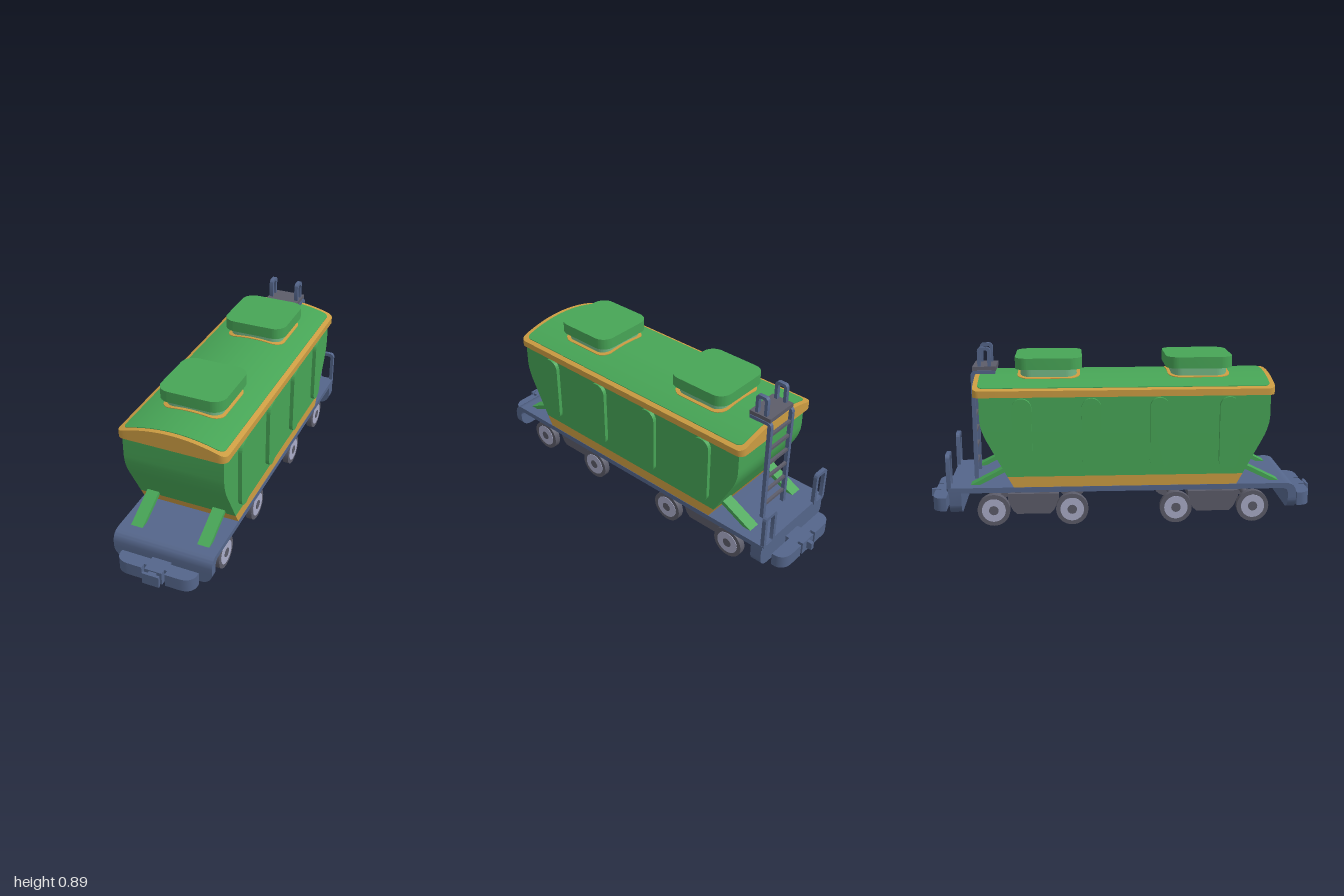
import * as THREE from 'three';
import { toCreasedNormals } from 'three/addons/utils/BufferGeometryUtils.js';

const mat = (name, color) => {
  const m = new THREE.MeshStandardMaterial({ color });
  m.name = name;
  return m;
};

export function createModel() {
  const green = mat('hopper green', 0x47a556);
  const paleGreen = mat('pale green', 0x74b987);
  const ochre = mat('ochre trim', 0xcc9c42);
  const blue = mat('slate blue', 0x54658a);
  const grey = mat('dark grey', 0x5c5c69);
  const pale = mat('pale steel', 0xa9acc8);

  const model = new THREE.Group();
  model.name = 'hopperWagon';
  const add = (name, geo, material, x = 0, y = 0, z = 0, parent = model) => {
    const m = new THREE.Mesh(geo, material);
    m.name = name;
    m.position.set(x, y, z);
    parent.add(m);
    return m;
  };
  const box = (w, h, d) => new THREE.BoxGeometry(w, h, d);
  const poly = (pts) => new THREE.Shape(pts.map(([a, b]) => new THREE.Vector2(a, b)));

  // Extrusions centred on their axis
  const extrudeZ = (shape, d) =>
    toCreasedNormals(new THREE.ExtrudeGeometry(shape, { depth: d, bevelEnabled: false, curveSegments: 10 }).translate(0, 0, -d / 2), 0.6);
  const extrudeX = (shape, w) => extrudeZ(shape, w).rotateY(-Math.PI / 2); // shape (z, y)
  const extrudeY = (shape, h) => extrudeZ(shape, h).rotateX(Math.PI / 2); // shape (x, z)

  const roundRect = (w, h, r, Type = THREE.Shape) => {
    const s = new Type(), a = w / 2, b = h / 2;
    s.absarc(a - r, b - r, r, 0, Math.PI / 2);
    s.absarc(r - a, b - r, r, Math.PI / 2, Math.PI);
    s.absarc(r - a, r - b, r, Math.PI, Math.PI * 1.5);
    s.absarc(a - r, r - b, r, Math.PI * 1.5, Math.PI * 2);
    s.closePath();
    return s;
  };
  const loopShape = (w, h, r, t) => {
    const s = roundRect(w, h, r);
    s.holes.push(roundRect(w - 2 * t, h - 2 * t, r - t * 0.7, THREE.Path));
    return s;
  };

  // Arched slab with rounded plan corners, built from cross-sections along x
  const arch = (x) => 0.755 - 0.05 * (x / 0.275) ** 2;
  const archSlab = (hw, hl, r, lift, bottom) => {
    const n = 28, pos = [], idx = [];
    for (let i = 0; i <= n; i++) {
      const x = hw * Math.sin((i / n - 0.5) * Math.PI);
      const e = Math.max(0, Math.abs(x) - (hw - r));
      const l = hl - r + Math.sqrt(Math.max(0, r * r - e * e));
      const t = arch(x) + lift, b = bottom ?? arch(x) - 0.003;
      pos.push(x, b, -l, x, t, -l, x, t, l, x, b, l);
      if (i === n) break;
      for (let j = 0; j < 4; j++) {
        const p = i * 4 + j, q = i * 4 + (j + 1) % 4;
        idx.push(p, q, q + 4, p, q + 4, p + 4);
      }
    }
    const k = n * 4;
    idx.push(0, 2, 1, 0, 3, 2, k, k + 1, k + 2, k, k + 2, k + 3);
    const g = new THREE.BufferGeometry();
    g.setAttribute('position', new THREE.Float32BufferAttribute(pos, 3));
    g.setIndex(idx);
    return toCreasedNormals(g, 0.6);
  };

  // Hopper body with curved, sloping ends
  const half = [[0.6, 0.265], [0.693, 0.44], [0.708, 0.47], [0.719, 0.5], [0.727, 0.53], [0.73, 0.56], [0.73, 0.69]];
  const ends = (pts) => poly([...pts, ...pts.map(([z, y]) => [0.018 - z, y]).reverse()]);
  add('hopperBody', extrudeX(ends(half), 0.51), green);
  add('hopperSkirt', extrudeX(ends([[0.567, 0.205], [0.6, 0.265]]), 0.51), ochre);

  // Side ribs
  for (const s of [-1, 1]) for (const z of [0.524, 0.177, -0.161, -0.503])
    add('sideRib', extrudeX(roundRect(0.096, 0.368, 0.047), 0.025), green, s * 0.2625, 0.48, z);

  // Arched roof with trim
  add('roofRim', archSlab(0.275, 0.746, 0.035, 0, 0.672), ochre, 0, 0, 0.004);
  add('roofPanel', archSlab(0.252, 0.722, 0.03, 0.003), green, 0, 0, 0.004);

  // Roof hatches
  for (const z of [0.388, -0.371]) {
    add('hatchTrim', archSlab(0.157, 0.157, 0.06, 0.006), ochre, 0, 0, z);
    add('hatchBase', extrudeY(roundRect(0.282, 0.282, 0.055), 0.07), paleGreen, 0, 0.755, z);
    add('hatchLid', extrudeY(roundRect(0.336, 0.336, 0.065), 0.057), green, 0, 0.817, z);
  }

  // Deck, bent down at the front
  const deck = new THREE.Shape();
  deck.moveTo(-0.88, 0.183);
  deck.lineTo(0.81, 0.183);
  deck.quadraticCurveTo(0.838, 0.18, 0.838, 0.15);
  deck.lineTo(0.838, 0.13);
  deck.lineTo(0.88, 0.13);
  deck.lineTo(0.88, 0.16);
  deck.quadraticCurveTo(0.875, 0.208, 0.825, 0.21);
  deck.lineTo(-0.88, 0.21);
  add('deck', extrudeX(deck, 0.514), blue);
  const endPlate = (top) => {
    const s = new THREE.Shape();
    s.moveTo(0.257, top);
    s.lineTo(-0.257, top);
    s.absarc(-0.197, 0.13, 0.06, Math.PI, Math.PI * 1.5);
    s.absarc(0.197, 0.13, 0.06, Math.PI * 1.5, Math.PI * 2);
    return s;
  };
  add('frontEndPlate', extrudeZ(endPlate(0.132), 0.042), blue, 0, 0, 0.859);
  add('rearEndPlate', extrudeZ(endPlate(0.2), 0.06), blue, 0, 0, -0.845);

  // Struts, handrails
  for (const s of [-1, 1]) {
    add('frontStrut', extrudeX(poly([[0.8, 0.208], [0.755, 0.208], [0.59, 0.288], [0.6, 0.308]]), 0.062), green, s * 0.175);
    add('rearStrut', extrudeX(poly([[-0.775, 0.208], [-0.582, 0.308], [-0.572, 0.288], [-0.73, 0.208]]), 0.062), green, s * 0.175);
    add('handrail', extrudeZ(loopShape(0.09, 0.195, 0.022, 0.018), 0.02), blue, s * 0.21, 0.286, -0.876);
  }

  // Buffer beams and couplings
  const bumper = new THREE.Shape();
  bumper.moveTo(-0.2, 0.9);
  bumper.lineTo(0.2, 0.9);
  bumper.lineTo(0.2, 0.925);
  bumper.quadraticCurveTo(0.19, 0.97, 0.135, 0.972);
  for (const [x, z] of [[0.06, 0.972], [0.06, 0.945], [0.045, 0.945], [0.045, 0.972],
    [-0.045, 0.972], [-0.045, 0.945], [-0.06, 0.945], [-0.06, 0.972], [-0.135, 0.972]]) bumper.lineTo(x, z);
  bumper.quadraticCurveTo(-0.19, 0.97, -0.2, 0.925);
  for (const turn of [0, Math.PI]) {
    const g = new THREE.Group();
    g.name = turn ? 'rearCoupler' : 'frontCoupler';
    g.rotation.y = turn;
    model.add(g);
    add('bufferBeam', extrudeY(bumper, 0.068), blue, 0, 0.105, 0, g);
    add('couplerNeck', box(0.1, 0.05, 0.06), blue, 0, 0.107, 0.885, g);
    if (turn) add('couplerPin', box(0.02, 0.04, 0.07), blue, 0, 0.11, 0.965, g);
    else {
      add('hookNeck', box(0.04, 0.055, 0.03), blue, 0, 0.105, 0.975, g);
      add('hookHead', box(0.086, 0.06, 0.014), blue, 0, 0.105, 0.993, g);
    }
  }

  // Bogies with wheels
  const cyl = (r, w, n = 32) => new THREE.CylinderGeometry(r, r, w, n).rotateZ(Math.PI / 2);
  const frame = poly([[-0.085, 0.043], [0.085, 0.043], [0.105, 0.062], [0.13, 0.115], [0.13, 0.15],
    [-0.13, 0.15], [-0.13, 0.115], [-0.105, 0.062]]);
  for (const z of [0.465, -0.46]) {
    const g = new THREE.Group();
    g.name = 'bogie';
    g.position.z = z;
    model.add(g);
    add('bogieFrame', extrudeX(frame, 0.36), grey, 0, 0, 0, g);
    add('bolster', box(0.32, 0.04, 0.19), grey, 0, 0.166, 0, g);
    for (const dz of [-0.198, 0.198]) {
      add('axle', cyl(0.018, 0.41, 16), grey, 0, 0.082, dz, g);
      for (const s of [-1, 1]) {
        add('wheel', cyl(0.082, 0.032), grey, s * 0.216, 0.082, dz, g);
        add('wheelFace', cyl(0.06, 0.004), pale, s * 0.2325, 0.082, dz, g);
        add('wheelHub', cyl(0.024, 0.004, 20), grey, s * 0.2345, 0.082, dz, g);
      }
    }
  }

  // Rear ladder, platform and grab handles
  const rail = new THREE.Shape();
  rail.moveTo(-0.763, 0.2);
  rail.lineTo(-0.743, 0.2);
  rail.lineTo(-0.743, 0.757);
  rail.lineTo(-0.64, 0.757);
  rail.lineTo(-0.64, 0.774);
  rail.lineTo(-0.735, 0.774);
  rail.quadraticCurveTo(-0.763, 0.774, -0.763, 0.745);
  for (const s of [-1, 1]) {
    add('ladderRail', extrudeX(rail, 0.02), blue, s * 0.084);
    add('grabHandle', extrudeX(loopShape(0.066, 0.125, 0.02, 0.016), 0.02), blue, s * 0.0735, 0.829, -0.695);
  }
  for (let i = 0; i < 6; i++)
    add('ladderRung', box(0.16, 0.014, 0.014), grey, 0, 0.285 + i * 0.083, -0.753);
  add('platform', box(0.18, 0.022, 0.118), grey, 0, 0.783, -0.695);

  return model;
}
